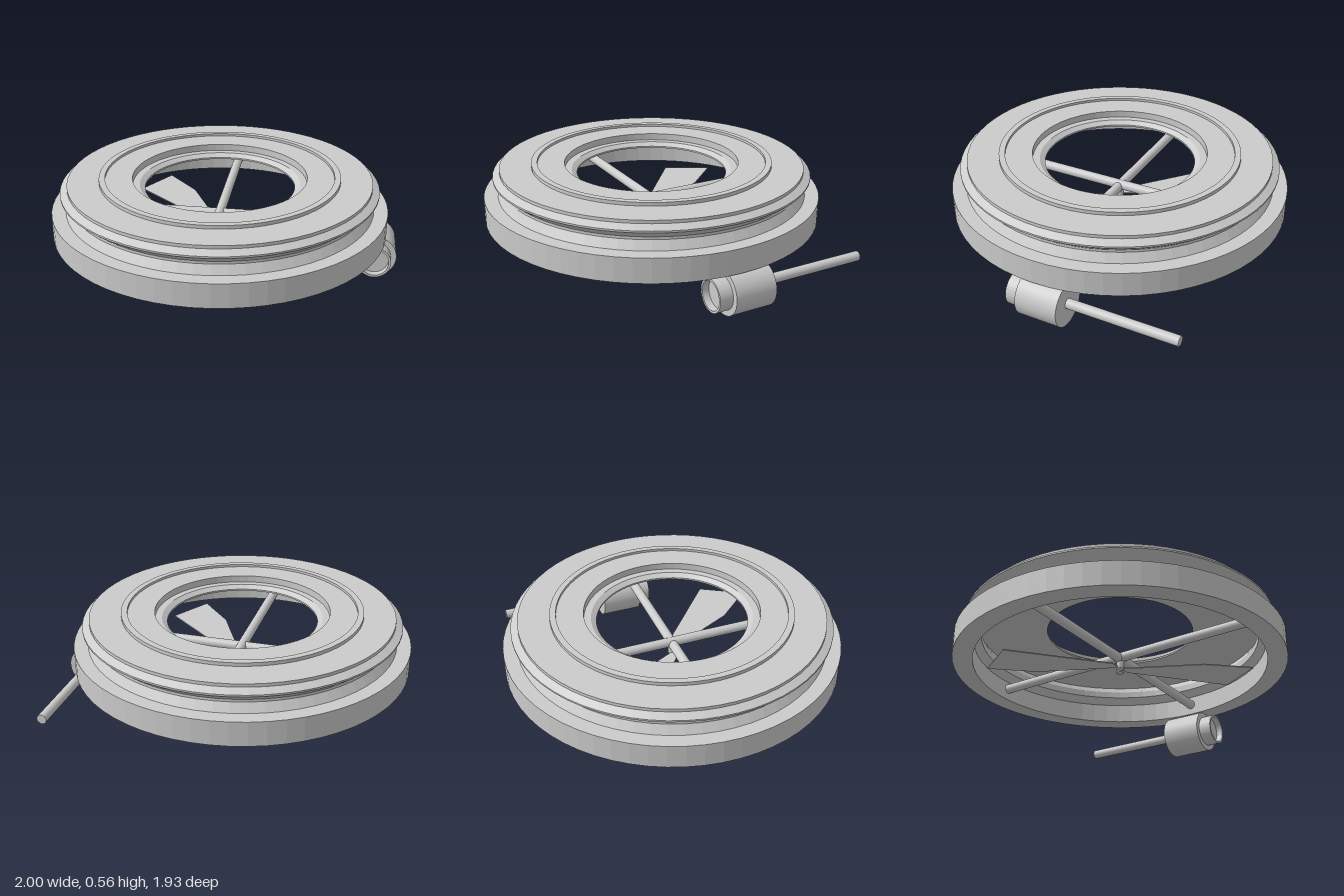
import * as THREE from 'three';

const grey = (flatShading = false) =>
  new THREE.MeshStandardMaterial({ color: 0xcccccc, flatShading, side: THREE.DoubleSide });

function add(parent, name, geometry, flat = false) {
  const mesh = new THREE.Mesh(geometry, grey(flat));
  mesh.name = name;
  parent.add(mesh);
  return mesh;
}

// Revolves a list of [radius, height] pairs
const lathe = (profile, segments) =>
  new THREE.LatheGeometry(profile.map(([r, y]) => new THREE.Vector2(r, y)), segments);

// Cylinder lying along z between two z positions
function rodZ(radius, z0, z1, segments = 24) {
  return new THREE.CylinderGeometry(radius, radius, Math.abs(z1 - z0), segments)
    .rotateX(Math.PI / 2).translate(0, 0, (z0 + z1) / 2);
}

export function createModel() {
  const model = new THREE.Group();
  model.name = 'ringHousingWithMotor';

  const wheel = new THREE.Group();
  wheel.name = 'ringAssembly';
  wheel.position.x = -0.035;
  model.add(wheel);

  // Hollow housing: base band, V-shaped neck, top lip, stepped opening, inner wall
  add(wheel, 'ringHousing', lathe([
    [0.965, 0.243], [0.965, 0.382], [0.885, 0.382], [0.855, 0.43], [0.855, 0.445],
    [0.91, 0.49], [0.91, 0.5], [0.87, 0.522], [0.87, 0.54],
    [0.69, 0.54], [0.69, 0.56], [0.655, 0.56], [0.655, 0.545], [0.5, 0.545],
    [0.5, 0.505], [0.46, 0.505], [0.43, 0.485], [0.43, 0.475],
    [0.83, 0.475], [0.81, 0.44], [0.81, 0.4], [0.85, 0.36], [0.85, 0.243], [0.965, 0.243],
  ], 64), true);

  // Crossed support rods
  add(wheel, 'supportRodDeep', rodZ(0.028, -0.85, 0.85)).position.y = 0.315;
  const across = add(wheel, 'supportRodAcross', rodZ(0.028, -0.85, 0.85));
  across.rotation.y = Math.PI / 2;
  across.position.y = 0.308;

  // Hub pin with a flared end
  add(wheel, 'hubPin', lathe([
    [0, 0.215], [0.022, 0.215], [0.022, 0.223], [0.014, 0.23], [0.022, 0.24], [0.022, 0.3], [0, 0.3],
  ], 20), true);

  // Two opposite blades, widening towards squared tips
  const outline = [[0, 0], [0.02, 0.02], [0.225, 0.435], [0.42, 0.65], [0.56, 0.41], [0.075, 0.0]];
  const shape = new THREE.Shape(outline.map(([x, z]) => new THREE.Vector2(x, -z)));
  for (const side of [0, 1]) {
    const blade = add(wheel, side ? 'bladeBack' : 'bladeFront',
      new THREE.ExtrudeGeometry(shape, { depth: 0.006, bevelEnabled: false }).rotateX(-Math.PI / 2), true);
    blade.rotation.y = side * Math.PI;
    blade.position.y = 0.246;
  }

  // Side motor: body, recessed front collar and long shaft
  const motor = new THREE.Group();
  motor.name = 'sideMotor';
  motor.position.set(0.87, 0.125, 0);
  model.add(motor);
  add(motor, 'motorBody', rodZ(0.125, -0.17, 0.073, 48));
  add(motor, 'motorCollar', lathe([
    [0.093, 0.07], [0.093, 0.15], [0.08, 0.15], [0.08, 0.11], [0, 0.11],
  ], 48).rotateX(Math.PI / 2), true);
  add(motor, 'motorShaft', rodZ(0.028, -0.8, -0.16)).position.y = 0.005;

  return model;
}
